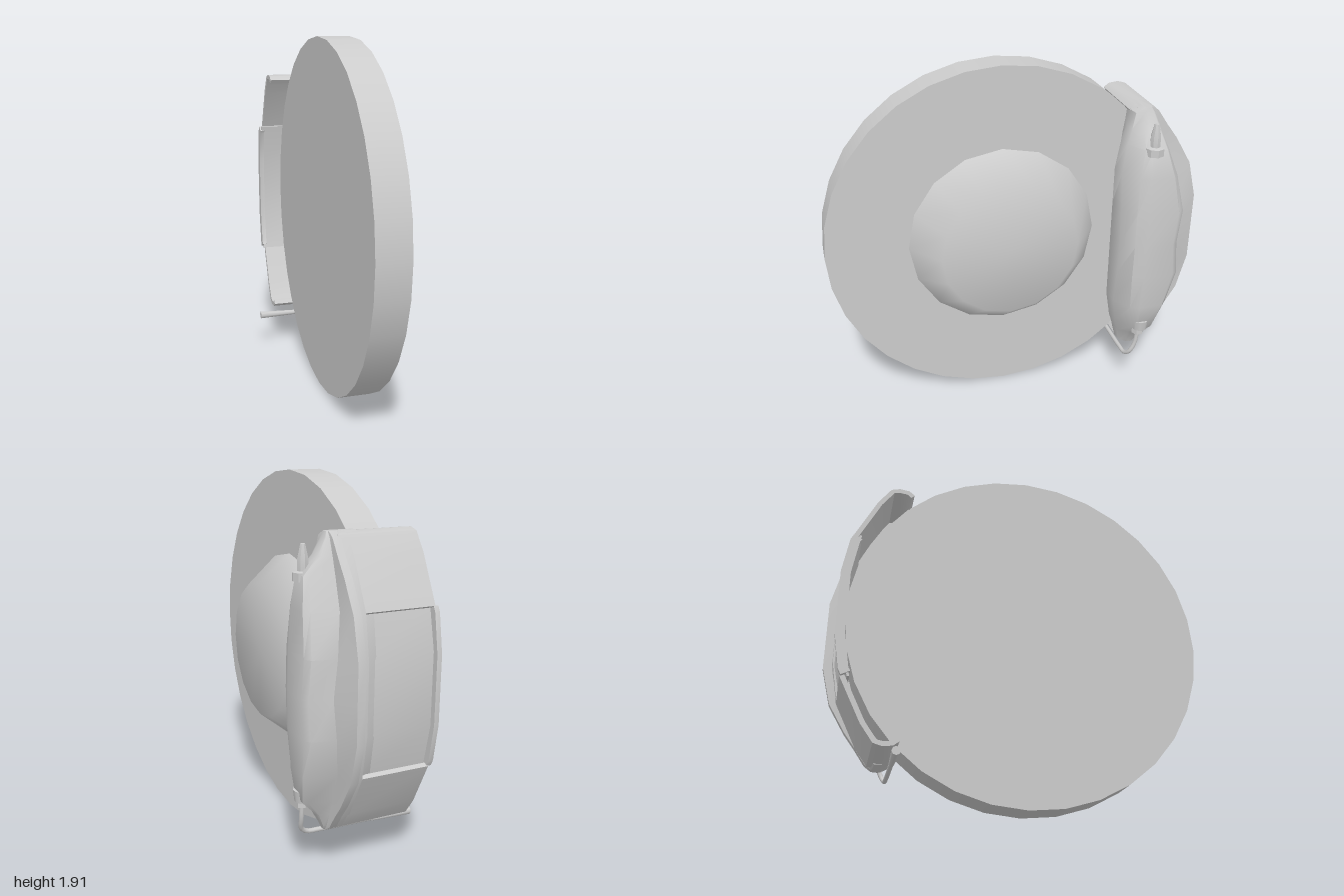
import * as THREE from 'three';
import { toCreasedNormals } from 'three/addons/utils/BufferGeometryUtils.js';

const MID = 0.96; // height of the disc and caliper centre
const grey = new THREE.MeshStandardMaterial({ color: 0xcccccc, side: THREE.DoubleSide });

function add(group, name, geometry, x = 0, y = 0, z = 0) {
  const mesh = new THREE.Mesh(geometry, grey);
  mesh.name = name;
  mesh.position.set(x, y, z);
  group.add(mesh);
  return mesh;
}

// Plate following a path of [depth behind the axis, height from centre], running from x0 to x1
function strip(path, x0, x1, thickness) {
  const outer = path.map(([u, d]) => new THREE.Vector2(u, d));
  const inner = outer.map((p, i) => {
    const a = outer[Math.max(i - 1, 0)], b = outer[Math.min(i + 1, outer.length - 1)];
    const t = b.clone().sub(a).normalize();
    return new THREE.Vector2(p.x + t.y * thickness, p.y - t.x * thickness);
  });
  const shape = new THREE.Shape([...outer, ...inner.reverse()]);
  const g = new THREE.ExtrudeGeometry(shape, { depth: x1 - x0, bevelEnabled: false });
  g.rotateY(Math.PI / 2);
  return toCreasedNormals(g.translate(x0, MID, 0), 0.6);
}

const mirrored = (half) => [...half, ...half.slice().reverse().map(([u, d]) => [u, -d])];

// Caliper housing: lofted from horizontal sections
function housing() {
  // height from centre, front z, rear z, bulge front z, bulge rear z, bulge x, shoulder x
  const half = [
    [0, -0.54, -1.0, -0.6, -0.84, 0.35, 0.25],
    [0.19, -0.54, -1.0, -0.6, -0.86, 0.347, 0.24],
    [0.39, -0.54, -0.95, -0.61, -0.815, 0.335, 0.21],
    [0.54, -0.565, -0.86, -0.635, -0.76, 0.312, 0.195],
    [0.62, -0.59, -0.8, -0.65, -0.74, 0.235, 0.185],
    [0.7, -0.61, -0.745, -0.66, -0.715, 0.19, 0.177],
    [0.725, -0.66, -0.71, -0.675, -0.7, 0.18, 0.175],
  ];
  const rows = [...half.slice(1).reverse().map(([d, ...r]) => [-d, ...r]), ...half];
  const lerp = THREE.MathUtils.lerp;
  const pos = [], index = [];
  let n = 0;
  for (const [d, zf, zr, b0, b1, xo, xm] of rows) {
    const section = [
      [0.03, lerp(zf, zr, 0.16)], [0.13, zf], [xm, lerp(zf, b0, 0.15)],
      [lerp(xm, xo, 0.82), b0], [xo, lerp(b0, b1, 0.25)], [xo, lerp(b0, b1, 0.88)],
      [lerp(xm, xo, 0.8), b1], [Math.max(0.172, xm - 0.03), lerp(b1, zr, 0.2)],
      [0.17, zr], [0.13, zr], [0.125, lerp(zr, zf, 0.1)], [0.03, lerp(zr, zf, 0.17)],
    ];
    n = section.length;
    for (const [x, z] of section) pos.push(x, MID + d, z);
  }
  for (let r = 0; r < rows.length - 1; r++) {
    for (let i = 0; i < n; i++) {
      const a = r * n + i, b = r * n + (i + 1) % n;
      index.push(a, b, b + n, a, b + n, a + n);
    }
  }
  const top = (rows.length - 1) * n;
  for (let i = 1; i < n - 1; i++) {
    index.push(0, i + 1, i, top, top + i, top + i + 1);
  }
  const g = new THREE.BufferGeometry();
  g.setAttribute('position', new THREE.Float32BufferAttribute(pos, 3));
  g.setIndex(index);
  return toCreasedNormals(g, 0.75);
}

export function createModel() {
  const model = new THREE.Group();
  model.name = 'discBrake';

  // Rotor and its raised hub
  const disc = new THREE.CylinderGeometry(0.955, 0.955, 0.175, 32).rotateZ(-Math.PI / 2);
  add(model, 'disc', disc, -0.0675, 0.957, 0.043);
  const hubProfile = [[0.515, 0], [0.37, 0.18], [0, 0.18]].map(([r, h]) => new THREE.Vector2(r, h));
  const hub = new THREE.LatheGeometry(hubProfile, 16).rotateZ(-Math.PI / 2);
  add(model, 'hub', hub, 0.02, 0.957, 0.043);

  // Caliper housing and the bridge that wraps over the disc edge
  const caliper = new THREE.Group();
  caliper.name = 'caliper';
  model.add(caliper);
  add(caliper, 'housing', housing());

  const curl = [[0.61, 0.695], [0.64, 0.717], [0.69, 0.723], [0.735, 0.71], [0.8, 0.62], [0.915, 0.39]];
  add(caliper, 'bridgeSpine', strip(mirrored([...curl, [0.952, 0.17]]), 0.09, 0.14, 0.025));
  add(caliper, 'bridgeTop', strip(curl, -0.268, 0.1, 0.025));
  add(caliper, 'bridgeBottom', strip(curl.map(([u, d]) => [u, -d]).reverse(), -0.268, 0.1, 0.025));

  // Recessed window floor and its end flange
  add(caliper, 'windowFloor', strip(mirrored([[0.88, 0.395], [0.927, 0.18]]), -0.28, 0.1, 0.012));
  add(caliper, 'windowFlange', strip(mirrored([[0.91, 0.39], [0.925, 0.36], [0.957, 0.17]]), -0.287, -0.262, 0.05));

  // Bleed nipple on top
  const nipple = [[0.05, -0.03], [0.05, 0.01], [0.027, 0.015], [0.027, 0.07], [0.012, 0.135], [0, 0.138]]
    .map(([r, h]) => new THREE.Vector2(r, h));
  add(caliper, 'bleedNipple', toCreasedNormals(new THREE.LatheGeometry(nipple, 8), 0.5), 0.286, 1.5, -0.685);

  // Hose nut, brake line and its end sleeve
  const nut = new THREE.CylinderGeometry(0.034, 0.034, 0.04, 6);
  add(caliper, 'hoseNut', toCreasedNormals(nut, 0.5), 0.283, 0.395, -0.68);
  add(caliper, 'hoseCollar', new THREE.CylinderGeometry(0.05, 0.042, 0.06, 10), 0.283, 0.435, -0.69);
  const route = new THREE.CatmullRomCurve3([
    [0.285, 0.39, -0.68], [0.283, 0.3, -0.67], [0.272, 0.235, -0.645], [0.235, 0.205, -0.632],
    [0.17, 0.2, -0.63], [-0.1, 0.196, -0.63], [-0.34, 0.193, -0.63],
  ].map((p) => new THREE.Vector3(...p)));
  add(caliper, 'brakeLine', new THREE.TubeGeometry(route, 32, 0.012, 8));
  const sleeve = new THREE.CylinderGeometry(0.014, 0.022, 0.22, 8).rotateZ(-Math.PI / 2);
  add(caliper, 'lineSleeve', sleeve, -0.245, 0.194, -0.63);

  return model;
}
